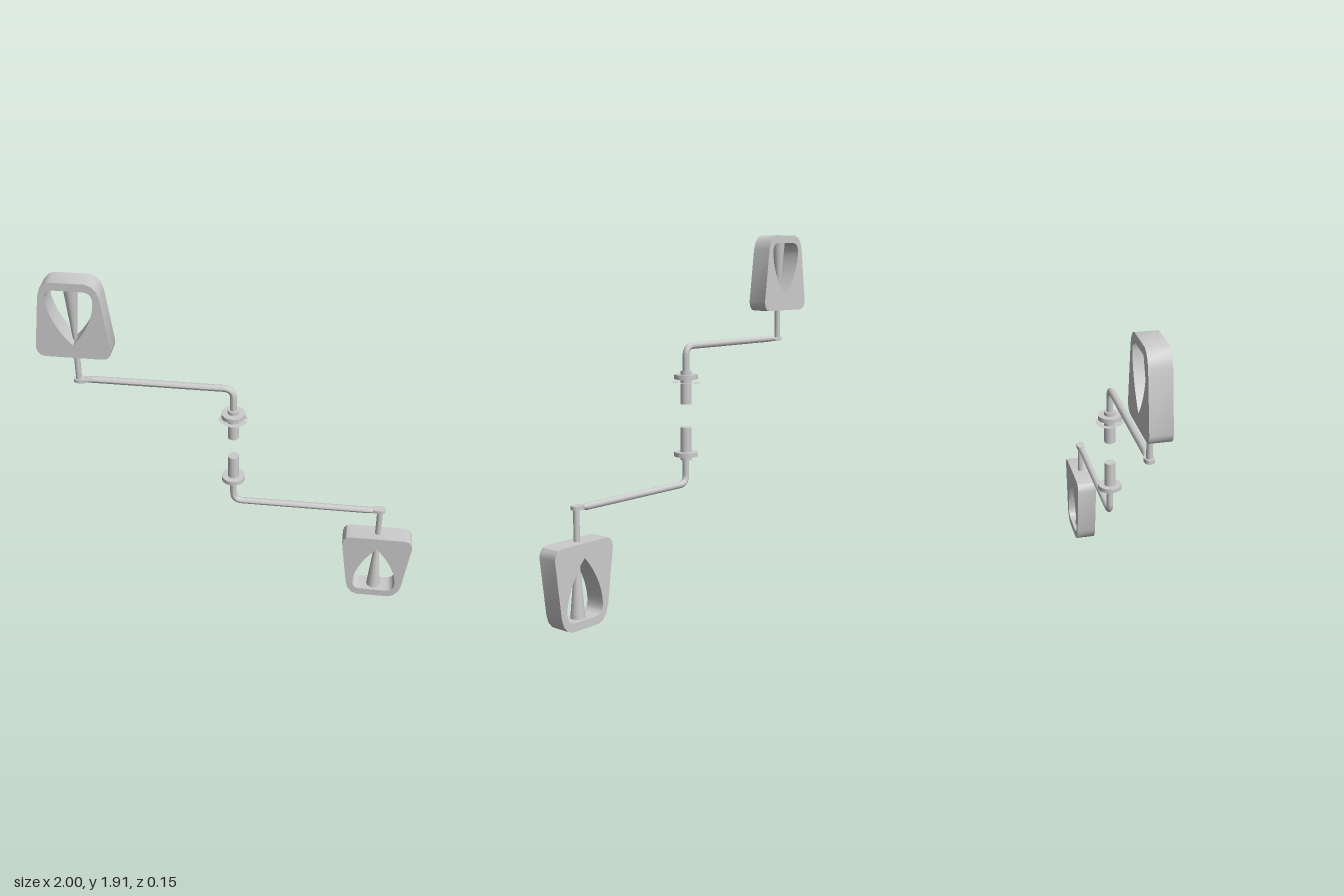
import * as THREE from 'three';
import { toCreasedNormals } from 'three/addons/utils/BufferGeometryUtils.js';

const PEDAL_X = 0.807;
const HEIGHT = 1.915;
const grey = new THREE.MeshStandardMaterial({ color: 0xcccccc });
const thin = new THREE.MeshStandardMaterial({ color: 0xcccccc, side: THREE.DoubleSide });

function part(name, geometry, x = 0, y = 0, material = grey) {
  const mesh = new THREE.Mesh(geometry, material);
  mesh.name = name;
  mesh.position.set(x, y, 0);
  return mesh;
}

// upright cylinder between two heights
function post(name, x, y0, y1, r0, r1 = r0, sides = 20) {
  return part(name, new THREE.CylinderGeometry(r1, r0, y1 - y0, sides), x, (y0 + y1) / 2);
}

// tapered block with rounded corners and a teardrop window
function pedalGeometry() {
  const half = [[0.088, 0], [0.118, 0.012], [0.142, 0.04], [0.155, 0.08],
    [0.193, 0.375], [0.188, 0.4], [0.172, 0.42], [0.145, 0.426]];
  const right = half.map(([x, y]) => new THREE.Vector2(x, y));
  const left = half.map(([x, y]) => new THREE.Vector2(-x, y)).reverse();
  const shape = new THREE.Shape([...right, ...left]);

  const hole = new THREE.Path();
  hole.moveTo(0, 0.352);
  hole.bezierCurveTo(-0.06, 0.29, -0.115, 0.19, -0.119, 0.105);
  hole.bezierCurveTo(-0.12, 0.06, -0.105, 0.043, -0.065, 0.043);
  hole.lineTo(0.065, 0.043);
  hole.bezierCurveTo(0.105, 0.043, 0.12, 0.06, 0.119, 0.105);
  hole.bezierCurveTo(0.115, 0.19, 0.06, 0.29, 0, 0.352);
  shape.holes.push(hole);

  const geo = new THREE.ExtrudeGeometry(shape, { depth: 0.11, bevelEnabled: false, curveSegments: 10 });
  geo.translate(0, 0, -0.055);
  return toCreasedNormals(geo, 0.6);
}

// bent rod, pressed flat towards its outer end
function armGeometry() {
  const v = (x, y) => new THREE.Vector3(x, y, 0);
  const path = new THREE.CurvePath();
  path.add(new THREE.LineCurve3(v(0, 0.73), v(0, 0.64)));
  path.add(new THREE.QuadraticBezierCurve3(v(0, 0.64), v(0, 0.588), v(0.052, 0.588)));
  path.add(new THREE.LineCurve3(v(0.052, 0.588), v(0.79, 0.588)));
  const geo = new THREE.TubeGeometry(path, 72, 0.018, 12, false);
  const p = geo.attributes.position;
  for (let i = 0; i < p.count; i++) {
    const t = THREE.MathUtils.clamp((p.getX(i) - 0.74) / 0.045, 0, 1);
    p.setY(i, THREE.MathUtils.lerp(p.getY(i), 0.593 + (p.getY(i) - 0.588) * 0.5, t));
  }
  geo.computeVertexNormals();
  return geo;
}

// rounded eye at the end of the arm
function eyeGeometry() {
  const shape = new THREE.Shape();
  shape.moveTo(-0.04, -0.017);
  shape.lineTo(-0.015, -0.024);
  shape.lineTo(0.004, -0.024);
  shape.absarc(0.004, 0, 0.024, -Math.PI / 2, Math.PI / 2, false);
  shape.lineTo(-0.015, 0.024);
  shape.lineTo(-0.04, 0.017);
  shape.closePath();
  const geo = new THREE.ExtrudeGeometry(shape, { depth: 0.02, bevelEnabled: false, curveSegments: 12 });
  geo.rotateX(-Math.PI / 2);
  return toCreasedNormals(geo, 0.6);
}

// one crank with its spindle and pedal, pedal hanging below
function makeCrank(name) {
  const crank = new THREE.Group();
  crank.name = name;
  crank.add(
    post('axle', 0, 0.738, 0.895, 0.03),
    post('flange', 0, 0.738, 0.762, 0.063, 0.063, 28),
    post('collar', 0, 0.718, 0.738, 0.03),
    part('arm', armGeometry()),
    part('armEye', eyeGeometry(), PEDAL_X, 0.583),
    post('pedalPin', PEDAL_X, 0.42, 0.595, 0.016, 0.016, 12),
    post('pedalSpindle', PEDAL_X, 0.042, 0.352, 0.038, 0.011, 12),
    part('pedal', pedalGeometry(), PEDAL_X, 0)
  );
  return crank;
}

// thin split spring washer with a slight helical rise
function washerGeometry() {
  const geo = new THREE.RingGeometry(0.05, 0.075, 32, 1, 0.1, Math.PI * 2 - 0.2);
  geo.rotateX(-Math.PI / 2);
  const p = geo.attributes.position;
  for (let i = 0; i < p.count; i++) {
    p.setY(i, 0.004 * Math.atan2(p.getZ(i), p.getX(i)) / Math.PI);
  }
  geo.computeVertexNormals();
  return geo;
}

export function createModel() {
  const model = new THREE.Group();
  model.name = 'pedalCranks';

  const lower = makeCrank('leftCrank');
  const upper = makeCrank('rightCrank');
  // opposite crank is the same part turned half a revolution
  upper.rotation.z = Math.PI;
  upper.position.y = HEIGHT;

  model.add(lower, upper, part('springWasher', washerGeometry(), 0, 1.135, thin));
  return model;
}
